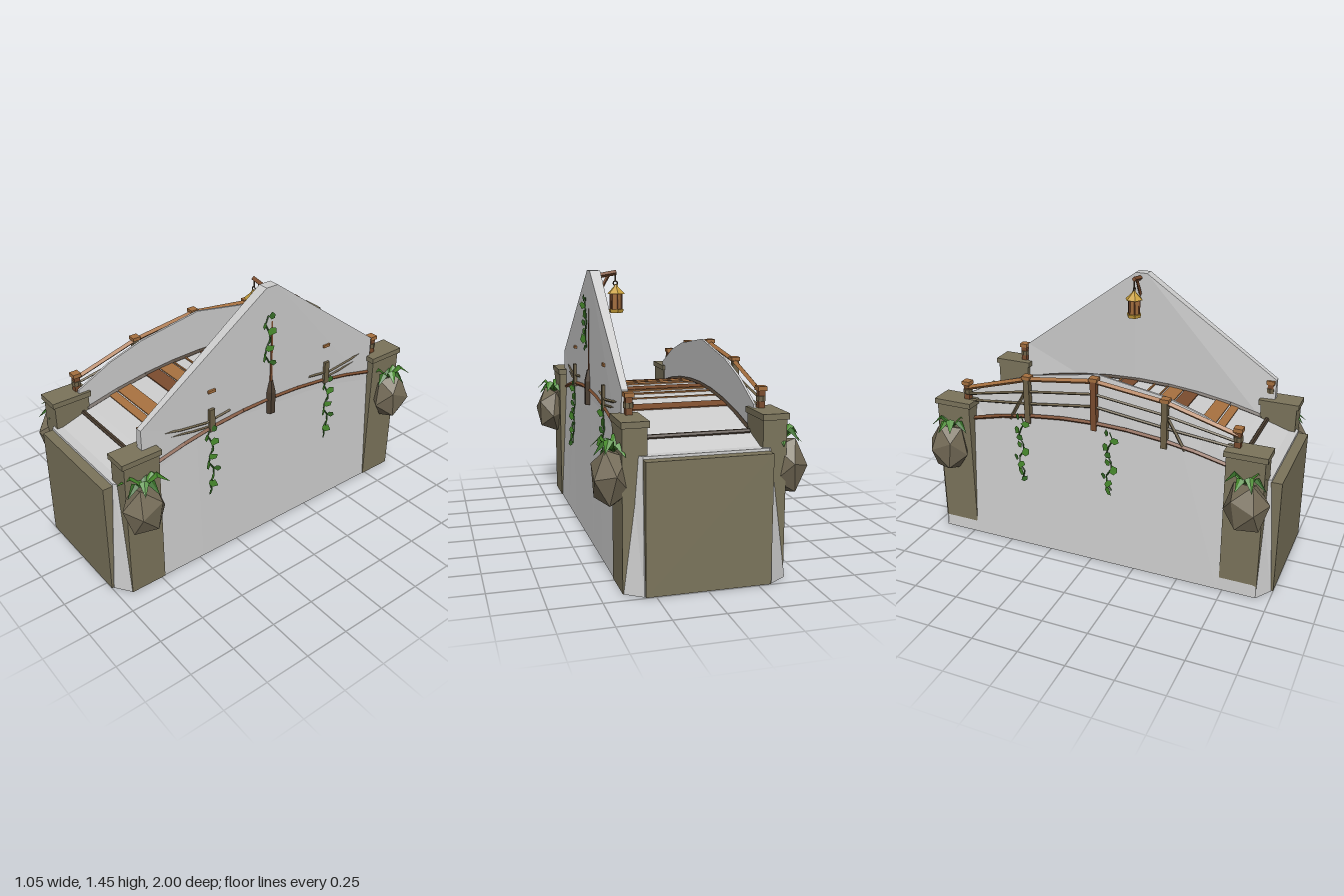
import * as THREE from 'three';

const mat = (name, color, double) => {
  const m = new THREE.MeshStandardMaterial({ color });
  m.name = name;
  m.flatShading = true;
  if (double) m.side = THREE.DoubleSide;
  return m;
};

export function createModel() {
  const root = new THREE.Group();
  const plaster = mat('pale stone', 0xcccccc);
  const olive = mat('olive stone', 0x7b745b);
  const rock = mat('rock', 0x736a56);
  const darkWood = mat('dark wood', 0x4a3d30);
  const midWood = mat('brown wood', 0x7a4c2e);
  const lightWood = mat('light wood', 0xa6703f);
  const oldWood = mat('weathered wood', 0x6e6248);
  const gold = mat('gold', 0xc9a03a);
  const green = mat('leaf green', 0x478a2c, true);
  const deepGreen = mat('deep green', 0x356b26, true);

  const add = (name, geo, m, x = 0, y = 0, z = 0, parent = root) => {
    const mesh = new THREE.Mesh(geo, m);
    mesh.name = name;
    mesh.position.set(x, y, z);
    parent.add(mesh);
    return mesh;
  };
  // box given by its limits
  const box = (name, m, x0, x1, y0, y1, z0, z1) =>
    add(name, new THREE.BoxGeometry(x1 - x0, y1 - y0, z1 - z0), m, (x0 + x1) / 2, (y0 + y1) / 2, (z0 + z1) / 2);
  // square or round bar between two points
  const bar = (name, m, a, b, r, sides = 4, r2 = r) => {
    const p = new THREE.Vector3(...a), q = new THREE.Vector3(...b), d = q.clone().sub(p);
    const mesh = add(name, new THREE.CylinderGeometry(r2, r, d.length(), sides), m);
    mesh.position.copy(p).add(q).multiplyScalar(0.5);
    mesh.quaternion.setFromUnitVectors(new THREE.Vector3(0, 1, 0), d.normalize());
    return mesh;
  };
  const path = (name, m, pts, r, sides = 4) =>
    pts.slice(1).forEach((p, i) => bar(name, m, pts[i], p, r, sides));
  // closed skin over rings ordered from back to front, each counter-clockwise from the front
  const loft = (rings) => {
    const pos = [], n = rings[0].length;
    const tri = (...v) => v.forEach((p) => pos.push(...p));
    for (let i = 0; i < rings.length - 1; i++) {
      for (let j = 0; j < n; j++) {
        const k = (j + 1) % n, a = rings[i][j], b = rings[i][k], c = rings[i + 1][k], d = rings[i + 1][j];
        tri(a, b, c);
        tri(a, c, d);
      }
    }
    const f = rings[rings.length - 1], g = rings[0];
    for (let j = 1; j < n - 1; j++) {
      tri(f[0], f[j], f[j + 1]);
      tri(g[0], g[j + 1], g[j]);
    }
    const geo = new THREE.BufferGeometry();
    geo.setAttribute('position', new THREE.Float32BufferAttribute(pos, 3));
    geo.computeVertexNormals();
    return geo;
  };

  const deckY = (z) => 0.803 - 0.185 * z * z;

  // arched body with chamfered ends
  const zs = [-0.99, -0.93, -0.72, -0.48, -0.24, 0, 0.24, 0.48, 0.72, 0.93, 0.99];
  add('bridgeBody', loft(zs.map((z) => {
    const end = Math.abs(z) > 0.95, zt = Math.abs(z) > 0.9 ? z * (end ? 0.955 : 0.965) : z;
    const y = Math.abs(z) > 0.9 ? 0.65 : deckY(z);
    const l = end ? -0.32 : -0.41, r = end ? 0.305 : 0.388, lt = end ? -0.31 : -0.35, rt = end ? 0.3 : 0.35;
    return [[l, 0.001, z], [r, 0.001, z], [rt, y, zt], [lt, y, zt]];
  })), plaster);

  // tall peaked parapet on the lantern side
  const fin = [[-0.74, 0.92], [-0.03, 1.445], [0.04, 1.445], [0.8, 0.92]];
  add('peakedParapet', loft(fin.map(([z, y]) =>
    [[0.287, 0.62, z], [0.353, 0.62, z], [0.347, y, z], [y > 1 ? 0.29 : 0.315, y, z]])), plaster);

  // low arched parapet on the other side
  const crest = [[-0.78, 0.83], [-0.58, 0.93], [-0.38, 0.995], [0, 1.06], [0.38, 0.995], [0.58, 0.93], [0.78, 0.83]];
  add('archedParapet', loft(crest.map(([z, y]) =>
    [[-0.355, 0.62, z], [-0.293, 0.62, z], [-0.293, y, z], [-0.305, y, z]])), plaster);

  for (const s of [-1, 1]) {
    // end slab and the beam across the deck
    const y0 = s > 0 ? 0 : 0.002;
    box('endSlab', olive, -0.313, 0.3, y0, 0.637, s > 0 ? 0.72 : -1, s > 0 ? 1 : -0.72);
    bar('crossBeam', darkWood, [-0.28, 0.697, s * 0.77], [0.28, 0.697, s * 0.77], 0.013, 6);
    for (const [x0, x1] of [[-0.404, -0.285], [0.273, 0.392]]) {
      // corner pillars with newel posts
      const side = Math.sign(x0), zc = s * 0.83;
      box('pillar', olive, x0, x1, 0.002, 0.785, zc - 0.1, zc + 0.1);
      box('pillarCap', olive, x0 - 0.007, x1 + 0.007, 0.78, 0.81, zc - 0.112, zc + 0.112);
      const px = side < 0 ? -0.335 : 0.322;
      box('newelPost', midWood, px - 0.016, px + 0.016, 0.8, 0.9, s * 0.77 - 0.016, s * 0.77 + 0.016);
      box('newelCap', lightWood, px - 0.023, px + 0.023, 0.893, 0.915, s * 0.77 - 0.023, s * 0.77 + 0.023);
      add('ropeRing', new THREE.CylinderGeometry(0.025, 0.025, 0.025, 8), oldWood, px, 0.855, s * 0.77);

      // boulder
      const b = add('boulder', new THREE.IcosahedronGeometry(1, 0), rock, side * 0.43 - (side < 0 ? 0.005 : 0), 0.54, s * 0.855);
      b.geometry.rotateX(0.35 * s).rotateZ(0.25 * side);
      b.scale.set(0.1, 0.152, 0.12);

      // grass tuft over the boulder
      const tuft = new THREE.Group();
      tuft.name = 'grassTuft';
      tuft.position.set(side * 0.415, 0.655, s * 0.84);
      root.add(tuft);
      for (let i = 0; i < 8; i++) {
        const reach = 0.1 + 0.03 * ((i * 3) % 4) / 3, h = 0.055 + 0.02 * (i % 2);
        const geo = new THREE.BufferGeometry();
        geo.setAttribute('position', new THREE.Float32BufferAttribute([
          0, 0, -0.01, 0, 0, 0.01, reach * 0.5, h - 0.01, 0.024,
          reach * 0.5, h - 0.01, -0.024, reach * 0.5, h, 0, reach, h - 0.06, 0], 3));
        geo.setIndex([0, 1, 4, 1, 2, 4, 0, 4, 3, 3, 4, 5, 4, 2, 5]);
        geo.computeVertexNormals();
        add('grassBlade', geo, i % 3 ? green : deepGreen, 0, 0, 0, tuft).rotation.y = (i * Math.PI) / 4 + 0.3 * side;
      }
    }
  }

  // planks showing on the deck: start, end, material
  const planks = [
    [-0.46, -0.38, midWood], [-0.28, -0.272, lightWood], [-0.187, -0.17, lightWood], [-0.11, -0.1, lightWood],
    [-0.09, 0, midWood], [0.096, 0.106, lightWood], [0.175, 0.183, lightWood], [0.192, 0.275, lightWood],
    [0.283, 0.365, midWood], [0.47, 0.552, lightWood], [0.56, 0.605, lightWood]];
  for (const [a, b, m] of planks) {
    const z = (a + b) / 2;
    const p = add('deckPlank', new THREE.BoxGeometry(0.582, 0.02, b - a), m, -0.004, deckY(z) - 0.005, z);
    p.rotation.x = Math.atan(0.37 * z);
  }

  // beams along the deck edges, inside and outside
  const arc = (x, dy) => Array.from({ length: 9 }, (_, i) => {
    const z = -0.74 + i * 0.185;
    return [x, deckY(z) + dy, z];
  });
  path('innerEdgeBeam', darkWood, arc(-0.288, 0.004), 0.012);
  path('innerEdgeBeam', darkWood, arc(0.283, 0.004), 0.012);
  path('outerEdgeBeam', midWood, arc(0.35, 0), 0.012);
  path('outerEdgeBeam', midWood, arc(-0.35, 0), 0.012);

  // railing on the low side
  const railPts = [[-0.77, 0.875], [-0.39, 0.985], [0, 1.035], [0.39, 0.985], [0.77, 0.875]];
  path('handrail', lightWood, railPts.map(([z, y]) => [-0.342, y, z]), 0.014);
  for (const drop of [0.07, 0.14]) {
    path('lowerRail', oldWood, railPts.map(([z, y]) => [-0.346, y - drop * (Math.abs(z) > 0.7 ? 0.5 : 1), z]), 0.008);
  }
  for (const [z, y] of railPts.slice(1, 4)) {
    box('railPost', z ? oldWood : midWood, -0.362, -0.33, deckY(z) - 0.04, y + 0.01, z - 0.016, z + 0.016);
    box('railPostCap', lightWood, -0.365, -0.319, y + 0.003, y + 0.022, z - 0.023, z + 0.023);
  }
  for (const s of [-1, 1]) {
    bar('railBrace', oldWood, [-0.35, 0.74, s * 0.5], [-0.35, 0.9, s * 0.41], 0.009);
    // railing pieces standing proud of the peaked side
    box('railPost', oldWood, 0.33, 0.366, 0.76, 0.89, s * 0.39 - 0.016, s * 0.39 + 0.016);
    box('railPostCap', lightWood, 0.318, 0.36, 0.983, 0.998, s * 0.385 - 0.022, s * 0.385 + 0.022);
    path('sideRail', oldWood, [[0.33, 0.868, s * 0.76], [0.352, 0.838, s * 0.58], [0.356, 0.82, s * 0.42], [0.35, 0.835, s * 0.27]], 0.007);
    path('sideRail', oldWood, [[0.335, 0.83, s * 0.73], [0.354, 0.8, s * 0.5], [0.352, 0.79, s * 0.41]], 0.006);
  }

  // lantern post on the outer face
  bar('lanternPostBase', darkWood, [0.35, 0.72, 0], [0.35, 0.85, 0], 0.028, 6);
  bar('lanternPostNeck', darkWood, [0.35, 0.85, 0], [0.35, 0.91, 0], 0.028, 6, 0.013);
  bar('lanternPost', midWood, [0.345, 0.9, 0], [0.34, 1.32, 0], 0.013, 6, 0.008);
  // arm, brace and hook
  bar('lanternArm', midWood, [0.195, 1.433, 0], [0.32, 1.412, 0], 0.014);
  bar('lanternBrace', midWood, [0.24, 1.415, 0], [0.3, 1.31, 0], 0.009);
  bar('lanternHook', darkWood, [0.2, 1.39, 0], [0.2, 1.43, 0], 0.004, 5);
  add('lanternRing', new THREE.TorusGeometry(0.012, 0.004, 4, 8), darkWood, 0.2, 1.376, 0);
  // hexagonal lantern
  const hex = (name, m, r0, r1, y0, y1) =>
    add(name, new THREE.CylinderGeometry(r1, r0, y1 - y0, 6), m, 0.197, (y0 + y1) / 2, 0);
  hex('lanternBase', gold, 0.038, 0.043, 1.218, 1.237);
  hex('lanternGlass', lightWood, 0.028, 0.031, 1.235, 1.325);
  hex('lanternRoof', gold, 0.05, 0.014, 1.32, 1.355);
  hex('lanternFinial', gold, 0.014, 0.007, 1.355, 1.37);
  for (let i = 0; i < 6; i++) {
    const a = (i * Math.PI) / 3, c = 0.197 + 0.032 * Math.sin(a), z = 0.032 * Math.cos(a);
    bar('lanternFrame', midWood, [c, 1.235, z], [c, 1.325, z], 0.005);
  }

  // hanging vines: side, z, top, bottom
  const leafShape = new THREE.Shape([[0, 0.026], [0.02, 0.008], [0.015, -0.016], [-0.004, -0.024], [-0.02, -0.004]]
    .map(([x, y]) => new THREE.Vector2(x, y)));
  const leafGeo = new THREE.ShapeGeometry(leafShape);
  for (const [side, z0, top, bottom, count] of [
    [1, 0.4, 0.78, 0.41, 10], [1, -0.4, 0.78, 0.43, 10], [1, 0.035, 1.3, 1.03, 7],
    [-1, -0.42, 0.78, 0.42, 10], [-1, 0.1, 0.78, 0.45, 9]]) {
    const stem = [];
    for (let i = 0; i < count; i++) {
      const y = top + ((bottom - top) * i) / (count - 1);
      const z = z0 + 0.018 * Math.sin(i * 1.7);
      const x = side * (Math.max(0.353, (side > 0 ? 0.388 : 0.41) - 0.05 * y) + 0.006);
      stem.push([x, y, z]);
      const leaf = add('vineLeaf', leafGeo, i % 3 ? green : deepGreen, x + side * 0.012, y, z + (i % 2 ? 0.014 : -0.014));
      leaf.rotation.set(0, side * Math.PI / 2 + (i % 2 ? 0.5 : -0.5), i * 1.3);
      leaf.scale.setScalar(0.85 + 0.15 * (i % 3));
    }
    path('vineStem', deepGreen, stem, 0.004);
  }
  return root;
}
